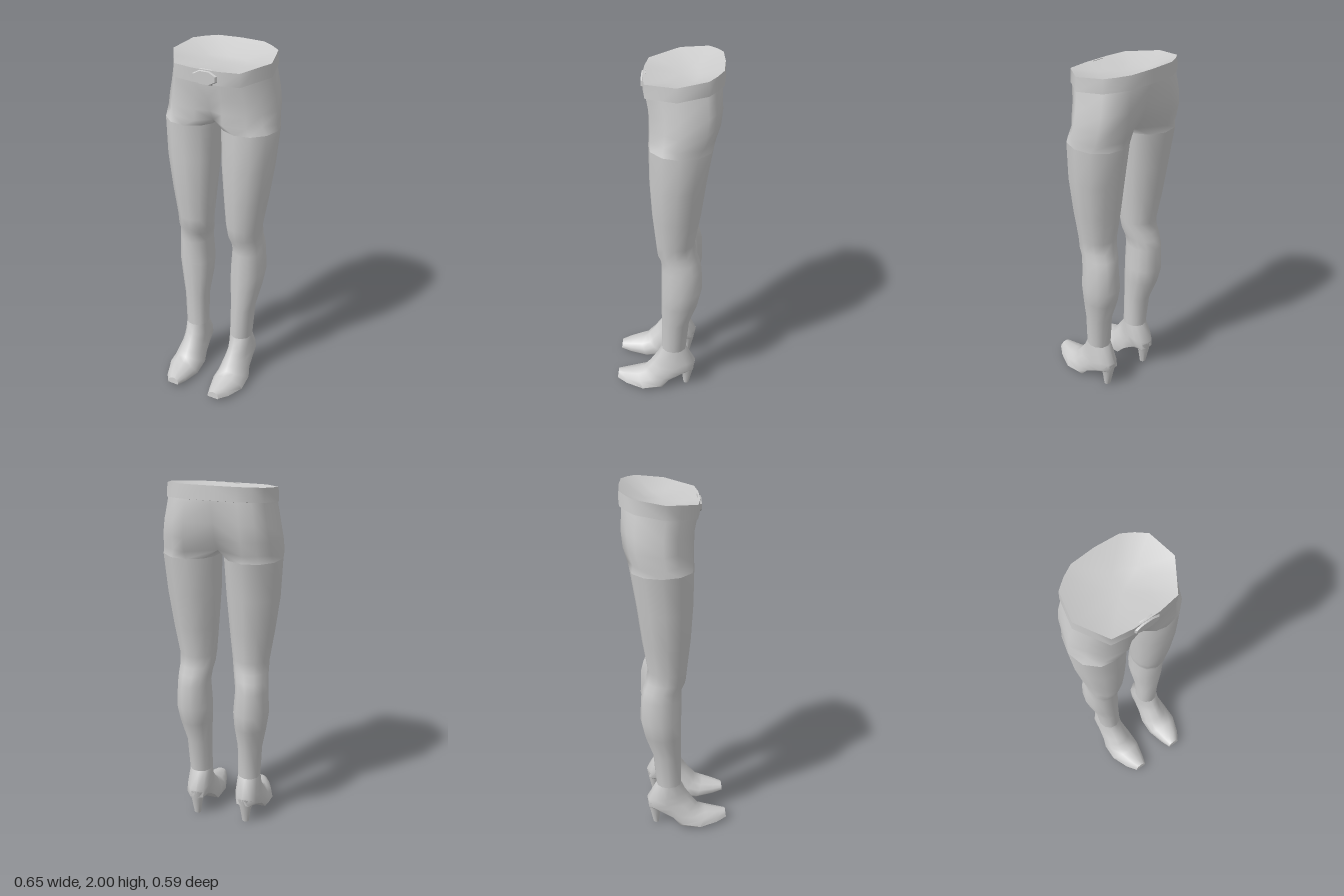
import * as THREE from 'three';
import { mergeGeometries, mergeVertices, toCreasedNormals } from 'three/addons/utils/BufferGeometryUtils.js';

const rad = THREE.MathUtils.degToRad;
const material = new THREE.MeshStandardMaterial({ color: 0xcccccc, side: THREE.DoubleSide });

// Twelve angles round a limb: inner front, front, outer, back, inner back, inner side
const ANGLES = [...Array.from({ length: 9 }, (_, k) => 130 - 32.5 * k), 205, 180, 155].map(rad);

// Limb section between a front point and a back point (z, y); flat > 0 squares off the back (sole) side
function limbRing([zf, yf, zb, yb, xi, xo, flat = 0]) {
  return ANGLES.map((a) => {
    const t = Math.min(1, ((1 - Math.sin(a)) / 2) * (1 + flat));
    return [(xi + xo) / 2 + ((xo - xi) / 2) * Math.cos(a), yf + (yb - yf) * t, zf + (zb - zf) * t];
  });
}

// Half waist section: nine points round the outside, three on the middle plane
const WAIST_X = [0, 0.25, 0.65, 0.83, 1, 0.88, 0.69, 0.47, 0];
const WAIST_T = [0, 0, 0.04, 0.24, 0.43, 0.8, 0.9, 0.98, 1];
function waistRing([y, tilt, width, zf, zb, midF = zf, midB = zb]) {
  const pts = WAIST_X.map((x, k) => {
    const z = k === 0 ? midF : k === 8 ? midB : zf + (zb - zf) * WAIST_T[k];
    return [x * width, y + tilt * (zf - z), z];
  });
  const [a, b] = [pts[0], pts[8]];
  for (const t of [0.75, 0.5, 0.25]) pts.push([0, a[1] + (b[1] - a[1]) * t, a[2] + (b[2] - a[2]) * t]);
  return pts;
}

// Skins rings from top to bottom, leaving the middle plane open
function loft(rings, capStart = false, capEnd = false) {
  const n = rings[0].length;
  const pos = rings.flat();
  const index = [];
  const add = (...tri) => {
    if (tri.some((i) => Math.abs(pos[i][0]) > 1e-6)) index.push(...tri);
  };
  for (let i = 0; i < rings.length - 1; i++) {
    for (let k = 0; k < n; k++) {
      const a = i * n + k, b = i * n + ((k + 1) % n);
      add(a, a + n, b);
      add(b, a + n, b + n);
    }
  }
  const cap = (ring, start, flip) => {
    const c = pos.length;
    pos.push([0, 1, 2].map((j) => (ring[0][j] + ring[8][j]) / 2));
    for (let k = 0; k < n; k++) {
      const p = start + k, q = start + ((k + 1) % n);
      if (flip) add(c, q, p);
      else add(c, p, q);
    }
  };
  if (capStart) cap(rings[0], 0, false);
  if (capEnd) cap(rings.at(-1), (rings.length - 1) * n, true);
  const g = new THREE.BufferGeometry();
  g.setAttribute('position', new THREE.Float32BufferAttribute(pos.flat(), 3));
  g.setIndex(index);
  g.computeVertexNormals();
  return g;
}

function mirrored(geometry) {
  const g = geometry.clone().scale(-1, 1, 1);
  const idx = g.index.array;
  for (let i = 0; i < idx.length; i += 3) [idx[i + 1], idx[i + 2]] = [idx[i + 2], idx[i + 1]];
  g.computeVertexNormals();
  return g;
}

// Joins a half with its mirror image and smooths over the middle seam
function whole(half) {
  const both = mergeGeometries([half, mirrored(half)]);
  both.deleteAttribute('normal');
  const g = mergeVertices(both, 1e-4);
  g.computeVertexNormals();
  return g;
}

export function createModel() {
  const model = new THREE.Group();
  const add = (name, geometry) => {
    const mesh = new THREE.Mesh(geometry, material);
    mesh.name = name;
    model.add(mesh);
    return mesh;
  };

  const thighTop = [0.09, 1.61, -0.245, 1.61, 0.012, 0.322];

  // Hips: y, tilt, half width, front z, back z, middle front z, middle back z
  const hips = [
    [1.9, 0.145, 0.276, 0.108, -0.275],
    [1.86, 0.13, 0.284, 0.108, -0.282, 0.108, -0.272],
    [1.78, 0.08, 0.304, 0.092, -0.288, 0.088, -0.25],
    [1.71, 0.04, 0.318, 0.09, -0.28, 0.068, -0.222],
    [1.65, 0, 0.323, 0.09, -0.258, 0.03, -0.165],
  ].map(waistRing);
  add('hips', whole(loft([...hips, limbRing(thighTop)])));

  // Waistband with its closed, sunken top
  const band = [
    [1.925, 0.03, 0.14, 0.02, -0.16],
    [1.94, 0.145, 0.282, 0.119, -0.288],
    [1.868, 0.145, 0.286, 0.117, -0.292],
    [1.868, 0.145, 0.274, 0.105, -0.275],
  ].map(waistRing);
  add('belt', toCreasedNormals(whole(loft(band, true)), rad(50)));

  // Buckle
  const buckle = new THREE.CylinderGeometry(0.8, 1, 0.022, 8).rotateY(Math.PI / 8).rotateX(Math.PI / 2);
  buckle.scale(0.083, 0.044, 1);
  add('buckle', toCreasedNormals(buckle, rad(50))).position.set(0, 1.9, 0.117);

  // Legs: front z, y, back z, y, inner x, outer x
  const leg = loft([
    thighTop,
    [0.087, 1.4, -0.213, 1.4, 0.02, 0.31],
    [0.075, 1.2, -0.188, 1.2, 0.036, 0.283],
    [0.057, 1.03, -0.16, 1.03, 0.05, 0.256],
    [0.05, 0.965, -0.17, 0.965, 0.058, 0.255],
    [0.028, 0.92, -0.187, 0.92, 0.068, 0.257],
    [0.025, 0.86, -0.2, 0.86, 0.077, 0.261],
    [0.025, 0.72, -0.205, 0.72, 0.066, 0.268],
    [0.025, 0.62, -0.185, 0.62, 0.07, 0.253],
    [0.025, 0.48, -0.137, 0.48, 0.082, 0.225],
    [0.025, 0.28, -0.12, 0.28, 0.082, 0.215],
  ].map(limbRing));

  // Shoe: sections swing from level at the ankle to upright at the toe
  const shoe = toCreasedNormals(loft([
    [0.025, 0.28, -0.12, 0.28, 0.082, 0.215],
    [0.05, 0.225, -0.177, 0.175, 0.077, 0.222],
    [0.072, 0.195, -0.165, 0.125, 0.077, 0.224, 0.1],
    [0.09, 0.165, -0.09, 0.108, 0.075, 0.226, 0.3],
    [0.115, 0.135, -0.02, 0.068, 0.068, 0.235, 0.5],
    [0.135, 0.108, 0.02, 0.02, 0.058, 0.246, 0.65],
    [0.17, 0.092, 0.13, 0.004, 0.056, 0.248, 0.7],
    [0.24, 0.075, 0.235, 0.013, 0.08, 0.21, 0.7],
    [0.29, 0.063, 0.295, 0.025, 0.1, 0.172, 0.7],
  ].map(limbRing), false, true), rad(55));

  // Tapered heel
  const heel = toCreasedNormals(loft([
    [-0.085, 0.115, -0.176, 0.172, 0.1, 0.2],
    [-0.095, 0.08, -0.163, 0.1, 0.117, 0.183],
    [-0.107, 0, -0.141, 0, 0.13, 0.17],
  ].map(limbRing), false, true), rad(55));

  for (const [name, geometry] of [['Leg', leg], ['Shoe', shoe], ['Heel', heel]]) {
    add('left' + name, geometry);
    const flipped = mirrored(geometry.index ? geometry : mergeVertices(geometry.clone()));
    add('right' + name, geometry.index ? flipped : toCreasedNormals(flipped, rad(55)));
  }
  return model;
}
